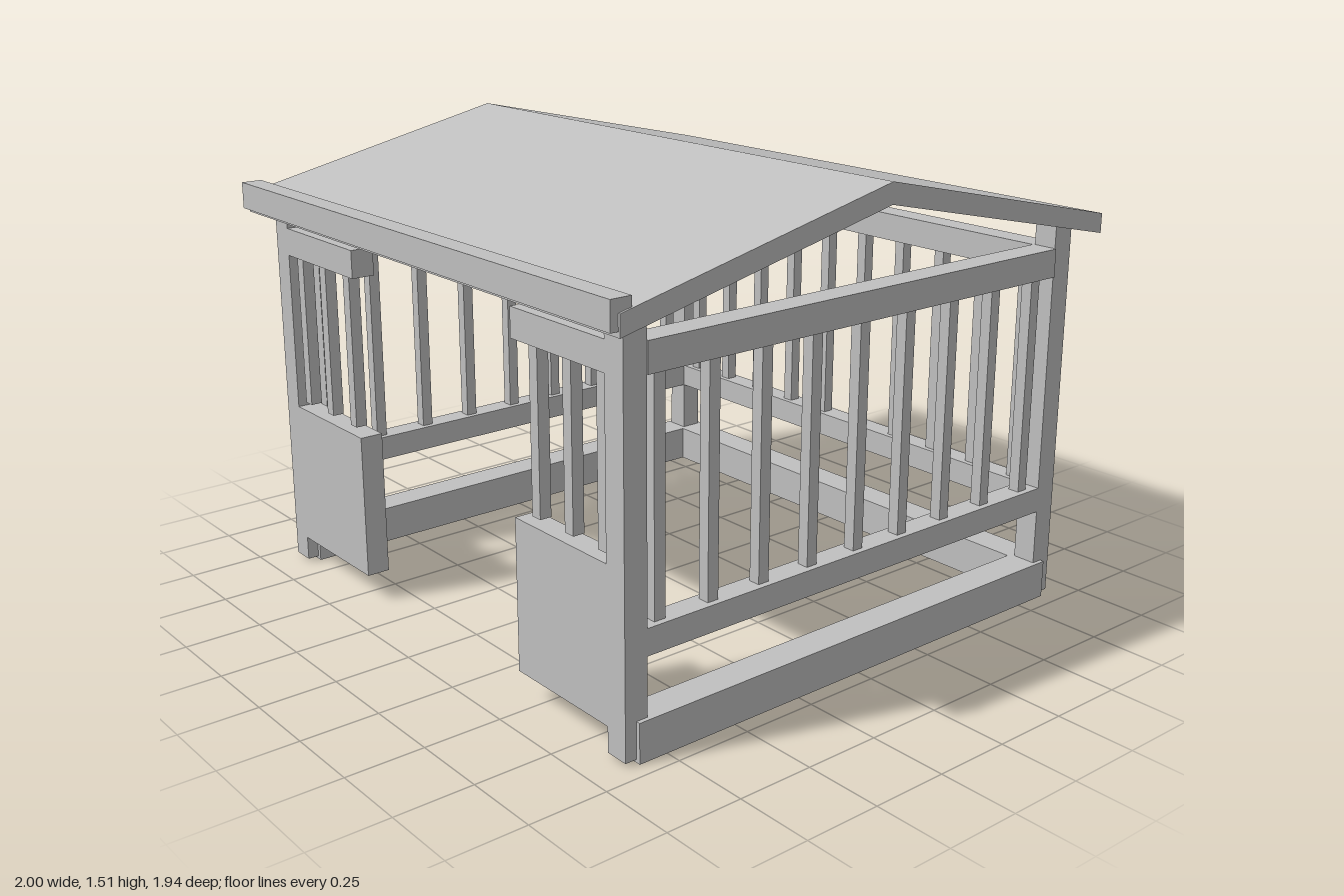
import * as THREE from 'three';

export function createModel() {
  const model = new THREE.Group();
  model.name = 'gabledShelter';
  const grey = new THREE.MeshStandardMaterial({ color: 0xc0c0c0 });
  grey.name = 'plain grey';

  // box given by its extents on each axis
  function box(name, [x0, x1], [y0, y1], [z0, z1]) {
    const mesh = new THREE.Mesh(new THREE.BoxGeometry(x1 - x0, y1 - y0, z1 - z0), grey);
    mesh.name = name;
    mesh.position.set((x0 + x1) / 2, (y0 + y1) / 2, (z0 + z1) / 2);
    model.add(mesh);
  }
  // the same box on both sides of x = 0
  function pair(name, [x0, x1], y, z) {
    box(name + 'Left', [x0, x1], y, z);
    box(name + 'Right', [-x1, -x0], y, z);
  }
  const around = (c, w) => [c - w / 2, c + w / 2];

  const frontZ = [0.808, 0.885], backZ = [-0.906, -0.83], midZ = -0.011;
  const postX = [0.857, 0.935], sideX = 0.896, slat = 0.038;
  const lowRail = [0.306, 0.388], topRail = [1.097, 1.188], slatY = [0.388, 1.097];

  // corner posts, their tops just piercing the roof
  pair('frontPost', postX, [0.01, 1.308], frontZ);
  pair('backPost', postX, [0.01, 1.308], backZ);

  // ground beams, lapped at the back corners
  pair('sideGroundBeam', [0.842, 0.949], [0, 0.125], [-0.867, 0.847]);
  box('backGroundBeam', [-0.896, 0.896], [0, 0.125], [-0.92, -0.813]);

  // rails between the posts
  pair('sideLowRail', postX, lowRail, [backZ[1], frontZ[0]]);
  pair('sideTopRail', [0.852, 0.94], topRail, [backZ[1], frontZ[0]]);
  box('backLowRail', [-0.857, 0.857], lowRail, backZ);
  box('backTopRail', [-0.857, 0.857], topRail, [-0.911, -0.825]);

  // front panels with short rails above, leaving the doorway open
  pair('frontPanel', [0.435, 0.857], [0.09, 0.57], frontZ);
  pair('frontTopRail', [0.435, 0.857], topRail, frontZ);

  // balusters
  for (let i = -4; i <= 4; i++)
    pair('sideBaluster', around(sideX, slat), slatY, around(midZ + i * 0.19, slat));
  for (let i = 0; i < 5; i++)
    pair('backBaluster', around(0.0895 + i * 0.179, slat), slatY, around(-0.868, slat));
  for (const x of [0.513, 0.667, 0.817])
    pair('frontBaluster', around(x, slat), [0.587, 1.097], around(0.847, slat));

  // gabled roof slab: profile in (-z, y), extruded along x
  const front = 0.944, back = -0.969, ridge = -0.011;
  const profile = new THREE.Shape([
    [-front, 1.23], [-ridge, 1.441], [-back, 1.23],
    [-back, 1.293], [-ridge, 1.506], [-front, 1.293],
  ].map(([a, b]) => new THREE.Vector2(a, b)));
  const roofShape = new THREE.ExtrudeGeometry(profile, { depth: 2, bevelEnabled: false });
  roofShape.rotateY(Math.PI / 2).translate(-1, 0, 0);
  const roof = new THREE.Mesh(roofShape, grey);
  roof.name = 'roof';
  model.add(roof);

  // board along the front eave
  box('eaveBoard', [-0.993, 0.993], [1.246, 1.332], [0.901, 0.969]);

  return model;
}
